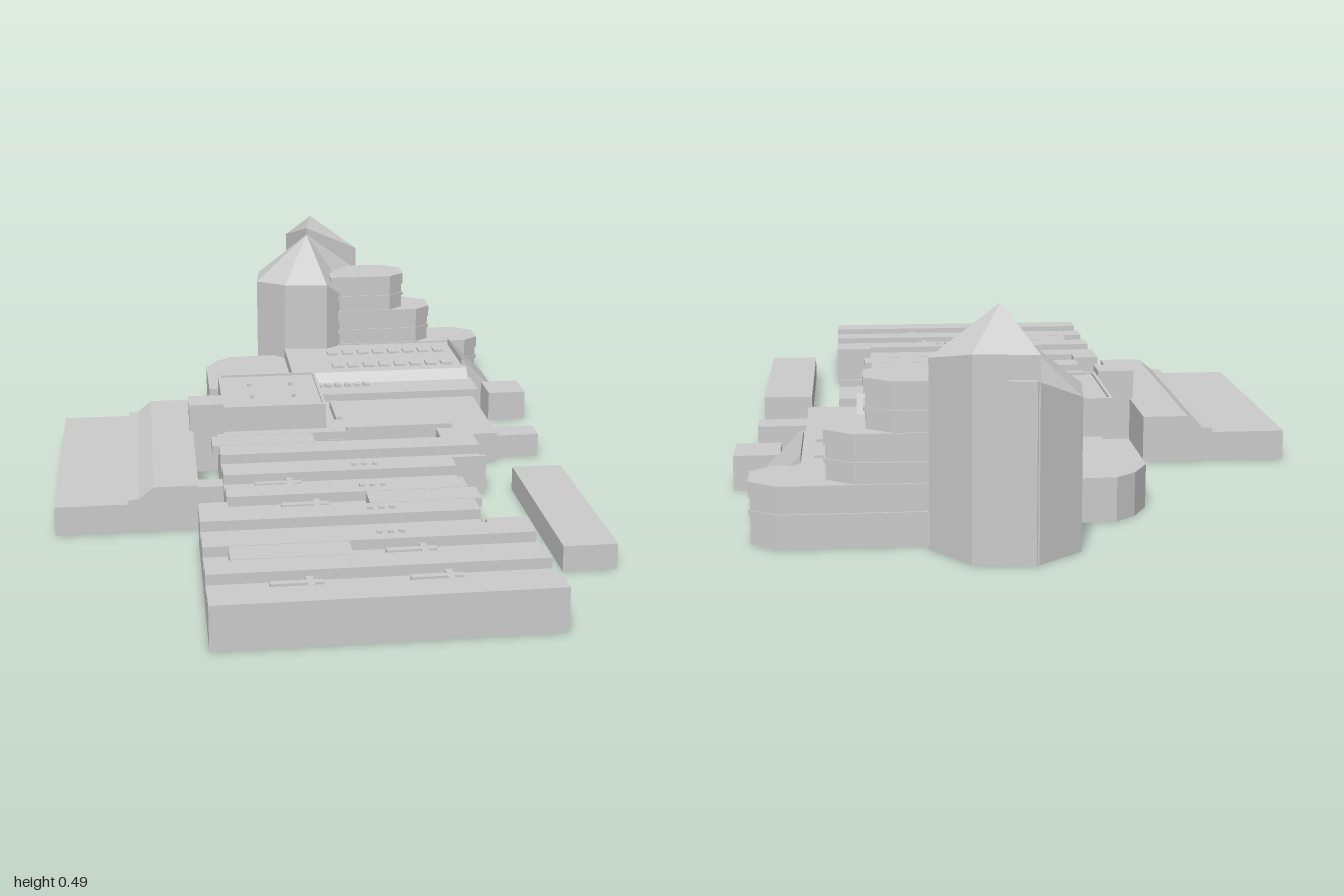
import * as THREE from 'three';

const mat = new THREE.MeshStandardMaterial({ color: 0xcccccc, flatShading: true, side: THREE.DoubleSide });

// Removes the floor so every building is an open-bottomed shell
function dropFloor(geo) {
  const g = geo.index ? geo.toNonIndexed() : geo;
  const p = g.attributes.position, keep = [];
  for (let i = 0; i < p.count; i += 3) {
    if (Math.max(p.getY(i), p.getY(i + 1), p.getY(i + 2)) < 1e-4) continue;
    for (let k = i; k < i + 3; k++) keep.push(p.getX(k), p.getY(k), p.getZ(k));
  }
  return fromPositions(keep);
}

function fromPositions(list) {
  const g = new THREE.BufferGeometry();
  g.setAttribute('position', new THREE.Float32BufferAttribute(list, 3));
  g.computeVertexNormals();
  return g;
}

const toShape = pts => new THREE.Shape(pts.map(([x, y]) => new THREE.Vector2(x, y)));
const extrude = (pts, depth) => new THREE.ExtrudeGeometry(toShape(pts), { depth, bevelEnabled: false });

// Plan outline [x, z] raised from y0 to y1
const plan = (pts, y0, y1) =>
  dropFloor(extrude(pts.map(([x, z]) => [x, -z]), y1 - y0).rotateX(-Math.PI / 2).translate(0, y0, 0));
const block = (x0, x1, z0, z1, h, y0 = 0) => plan([[x0, z0], [x1, z0], [x1, z1], [x0, z1]], y0, h);
// Section [z, y] run along x, and section [x, y] run along z
const alongX = (pts, x0, x1) =>
  dropFloor(extrude(pts.map(([z, y]) => [-z, y]), x1 - x0).rotateY(Math.PI / 2).translate(x0, 0, 0));
const alongZ = (pts, z0, z1) => dropFloor(extrude(pts, z1 - z0).translate(0, 0, z0));

// Walls with their own height at each corner, closed by roof triangles meeting at an apex
function peaked(ring, apex) {
  const out = [];
  ring.forEach(([x0, z0, h0], i) => {
    const [x1, z1, h1] = ring[(i + 1) % ring.length];
    out.push(x0, 0, z0, x0, h0, z0, x1, h1, z1, x0, 0, z0, x1, h1, z1, x1, 0, z1);
    out.push(x0, h0, z0, ...apex, x1, h1, z1);
  });
  return fromPositions(out);
}

// Hall section with evenly spaced roof channels
const PITCH = 0.1405, FIRST = 0.826, HALF = 0.037, ROOF = 0.1, CHANNEL = 0.076;
const channelZ = k => FIRST - PITCH * k;
function hallSection(z0, z1) {
  const pts = [[z1, 0], [z1, ROOF]];
  for (let k = 0; k < 8; k++) {
    const a = channelZ(k) + HALF, b = channelZ(k) - HALF;
    if (a < z1 && b > z0) pts.push([a, ROOF], [a, CHANNEL], [b, CHANNEL], [b, ROOF]);
  }
  pts.push([z0, ROOF], [z0, 0]);
  return pts;
}

export function createModel() {
  const model = new THREE.Group();
  const site = new THREE.Group();
  site.name = 'buildingComplex';
  site.rotation.y = -0.276;
  model.add(site);
  const add = (name, geo) => {
    const m = new THREE.Mesh(geo, mat);
    m.name = name;
    site.add(m);
  };

  // Long hall, with wider ends
  add('hallCentre', alongX(hallSection(-0.15, 0.935), -0.293, 0.272));
  add('hallLeftAisle', alongX(hallSection(0.397, 0.935), -0.36, -0.293));
  add('hallRightAisle', alongX(hallSection(0.56, 0.935), 0.272, 0.367));
  add('hallSideBay', alongX(hallSection(-0.05, 0.168), 0.272, 0.358));

  // Plant rooms bridging the channels
  for (const [x, k] of [[-0.175, 1], [-0.18, 6], [0.16, 3]])
    add('roofPlantRoom', block(x - 0.13, x + 0.13, channelZ(k) - 0.035, channelZ(k) + 0.035, 0.1, CHANNEL));
  // Ducts lying in the channels, each with a short fork
  for (const [x, k] of [[-0.17, 0], [0.12, 0], [0.09, 1], [-0.11, 3], [-0.16, 4]]) {
    const z = channelZ(k);
    add('roofDuct', block(x - 0.06, x + 0.05, z - 0.008, z + 0.008, 0.092, CHANNEL));
    add('roofDuctFork', block(x + 0.015, x + 0.03, z - 0.025, z + 0.025, 0.092, CHANNEL));
  }
  // Small vents on the ridges
  for (const k of [1, 2, 3, 4])
    for (let i = 0; i < 3; i++) {
      const x = 0.02 + i * 0.025, z = channelZ(k) - PITCH / 2;
      add('roofVent', block(x, x + 0.012, z - 0.005, z + 0.005, 0.106, ROOF));
    }

  // Side wing with a stepped, sloping roof
  add('sideWing', alongZ([[-0.69, 0], [-0.355, 0], [-0.355, 0.11], [-0.46, 0.11], [-0.495, 0.082],
    [-0.52, 0.08], [-0.52, 0.07], [-0.69, 0.07]], -0.333, 0.311));
  add('wingLink', block(-0.355, -0.293, 0.17, 0.22, 0.07));

  // Detached low building
  add('detachedBuilding', block(0.43, 0.553, 0.148, 0.645, 0.06));

  // Raised cube and its stair tower
  add('raisedBlock', block(-0.276, -0.01, -0.37, -0.086, 0.16));
  for (const [x0, x1, z0, z1] of [[-0.276, -0.01, -0.37, -0.362], [-0.276, -0.01, -0.094, -0.086],
    [-0.276, -0.268, -0.362, -0.094], [-0.018, -0.01, -0.362, -0.094]])
    add('raisedBlockParapet', block(x0, x1, z0, z1, 0.166, 0.16));
  for (const x of [-0.2, -0.09])
    for (const z of [-0.28, -0.18]) add('raisedBlockVent', block(x, x + 0.01, z, z + 0.01, 0.168, 0.16));
  add('stairTower', block(-0.363, -0.276, -0.147, -0.07, 0.18));

  // Low terrace with a sloping canopy and a glazed strip
  add('terrace', block(-0.01, 0.434, -0.375, -0.05, 0.08));
  add('terraceCanopy', alongX([[-0.049, 0.08], [-0.049, 0.112], [-0.14, 0.08]], 0.04, 0.315));
  add('terraceSpine', block(0.025, 0.042, -0.31, -0.17, 0.1, 0.08));
  add('terracePorch', block(0.434, 0.553, -0.155, -0.085, 0.06));

  // Stepped block behind the terrace
  add('middleStrip', block(-0.01, 0.449, -0.47, -0.363, 0.1));
  for (let i = 0; i < 6; i++) add('stripVent', block(i * 0.027 + 0.0, i * 0.027 + 0.018, -0.445, -0.425, 0.108, 0.1));
  add('rearBlock', alongX([[-0.46, 0], [-0.46, 0.1], [-0.485, 0.126], [-0.77, 0.126], [-0.77, 0]], -0.06, 0.44));
  for (const z of [-0.54, -0.67])
    for (let i = 0; i < 8; i++)
      add('skylight', block(0.06 + i * 0.045, 0.09 + i * 0.045, z - 0.018, z + 0.018, 0.132, 0.126));

  // Chamfered rear wing and its link
  add('rearWing', plan([[-0.296, -0.468], [-0.296, -0.68], [-0.262, -0.74], [-0.219, -0.774],
    [-0.06, -0.779], [-0.06, -0.468]], 0, 0.095));
  add('rearLink', block(-0.25, -0.01, -0.47, -0.37, 0.075));

  // Lean-to and entrance box
  add('leanTo', alongZ([[0.431, 0], [0.535, 0], [0.535, 0.04], [0.431, 0.145]], -0.728, -0.512));
  add('entranceBox', block(0.485, 0.588, -0.49, -0.384, 0.08));

  // Stepped bays with chamfered ends, each with a band and cap
  const bay = (end, g) => [[0.08, -0.9 - g], [end - 0.055, -0.9 - g], [end + g, -0.862], [end + g, -0.79],
    [end - 0.04, -0.757 + g], [0.08, -0.757 + g]];
  for (const [end, h] of [[0.528, 0.13], [0.378, 0.232], [0.298, 0.335]]) {
    add('steppedBay', plan(bay(end, 0), 0, h - 0.002));
    add('bayCap', plan(bay(end, 0.004), h - 0.032, h));
    add('bayBand', plan(bay(end, 0.004), h - 0.068, h - 0.058));
  }

  // Eight-sided tower: a low faceted roof and a taller rear half
  const cx = 0.022, cz = -0.879, R = 0.161;
  const corner = (deg, h) => {
    const t = THREE.MathUtils.degToRad(deg) - 0.276;
    return [cx + R * Math.cos(t), cz + R * Math.sin(t), h];
  };
  const heights = [0.32, 0.24, 0.32, 0.32, 0.31, 0.31, 0.36, 0.36];
  add('tower', peaked(heights.map((h, i) => corner(i * 45, h)), [cx, 0.44, cz]));
  add('towerCrest', peaked([corner(-92, 0.41), corner(-45, 0.41), corner(0, 0.385), [cx, cz, 0.46]],
    [cx + 0.015, 0.49, cz - 0.035]));

  return model;
}
